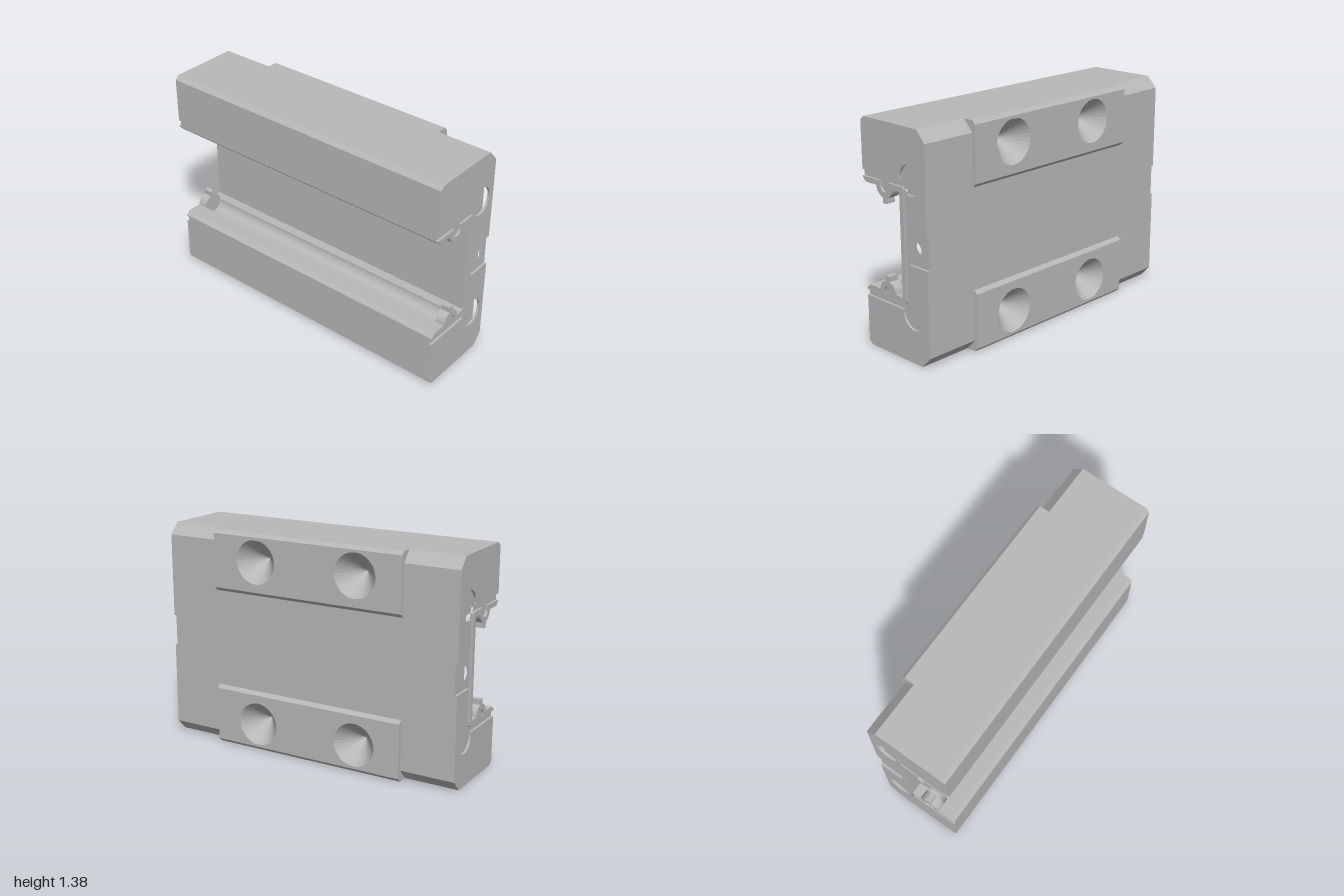
import * as THREE from 'three';

const H = 1.385;          // overall height; everything mirrors about H / 2
const GX = -0.093;        // x of the two raceways

// points along an arc, angles in degrees
function arc(cx, cy, r, a0, a1, n) {
  const pts = [];
  for (let i = 0; i <= n; i++) {
    const a = THREE.MathUtils.degToRad(a0 + (a1 - a0) * i / n);
    pts.push([cx + r * Math.cos(a), cy + r * Math.sin(a)]);
  }
  return pts;
}
const flip = pts => pts.map(([x, y]) => [x, H - y]).reverse();
const toShape = pts => new THREE.Shape(pts.map(p => new THREE.Vector2(...p)));

function addHole(shape, x, y, r, n = 28) {
  shape.holes.push(new THREE.Path(arc(x, y, r, 360, 360 / n, n - 1).map(p => new THREE.Vector2(...p))));
  return shape;
}

export function createModel() {
  const group = new THREE.Group();
  const steel = new THREE.MeshStandardMaterial({ color: 0xb8b8b8 });
  steel.name = 'steel grey';

  const add = (name, geometry) => {
    const mesh = new THREE.Mesh(geometry, steel);
    mesh.name = name;
    group.add(mesh);
    return mesh;
  };
  const slab = (name, shape, z0, z1) =>
    add(name, new THREE.ExtrudeGeometry(shape, { depth: z1 - z0, bevelEnabled: false }))
      .position.z = z0;
  const bothEnds = (name, shape, z0, z1) => {
    slab(name, shape, z0, z1);
    slab(name, shape, -z1, -z0);
  };

  // lower half outlines, running clockwise from the outer face to the inner web
  const shoulder = [[0.255, 0.07], [0.19, 0]];
  const notch = [[0.255, 0.385], [0.1, 0.385], [0.1, 0]];
  const leg = [[-0.255, 0], [-0.28, 0.025], [-0.28, 0.355], [-0.255, 0.38]];
  const groove = arc(GX, 0.38, 0.068, 180, 360, 14);
  const bump = [
    ...arc(GX, 0.375, 0.069, 176, 103, 6),
    [GX - 0.016, 0.475], [GX + 0.016, 0.475],
    ...arc(GX, 0.375, 0.069, 77, 4, 6),
  ];
  const web = [[0.035, 0.38]];
  const channel = (outer, inner) => {
    const half = [...outer, ...leg, ...inner, ...web];
    return addHole(toShape([...half, ...flip(half)]), 0.145, H / 2, 0.045);
  };

  // main carriage and its narrower shoulders
  slab('carriageBody', channel(notch, groove), -0.65, 0.65);
  bothEnds('carriageShoulder', channel(shoulder, groove), 0.65, 0.94);

  // end plates with round pockets
  const plate = channel(shoulder, bump);
  addHole(plate, 0.13, 0.295, 0.09);
  addHole(plate, 0.13, H - 0.295, 0.09);
  bothEnds('endPlate', plate, 0.94, 0.985);

  // raised end faces, notched around the pockets
  const face = [
    [-0.28, 0.31],
    ...arc(0.13, 0.295, 0.09, 170.4, 469.5, 24),
    [0.1, 0.595], [0.255, 0.595], ...shoulder, [-0.255, 0], [-0.28, 0.025],
  ];
  bothEnds('lowerEndFace', toShape(face), 0.985, 1);
  bothEnds('upperEndFace', toShape(flip(face)), 0.985, 1);

  // thin U-shaped seal lip following the inner opening
  const sealOuter = [[-0.28, 0.355], [-0.255, 0.38], ...bump, ...web];
  const sealInner = [
    [0.065, 0.357], [0.059, 0.348], [GX + 0.035, 0.348],
    ...arc(GX, 0.375, 0.035, 0, 180, 10),
    [GX - 0.035, 0.348], [-0.28, 0.348],
  ];
  bothEnds('sealLip', toShape([
    ...sealOuter, ...flip(sealOuter), ...flip(sealInner), ...sealInner,
  ]), 0.985, 1);

  // mounting pads with conical holes
  const padH = 0.385, holeR = 0.137, holeY = 0.174, holeZ = 0.345, depth = 0.16;
  const padShape = toShape([[-0.65, 0], [0.65, 0], [0.65, padH], [-0.65, padH]]);
  for (const s of [-1, 1]) addHole(padShape, s * holeZ, holeY, holeR, 32);

  const padBase = new THREE.ExtrudeGeometry(padShape, { depth: 0.155, bevelEnabled: false });
  padBase.rotateY(Math.PI / 2).translate(0.1, 0, 0);

  // taper the long edges of the pad's outer face
  let padTop = new THREE.ExtrudeGeometry(padShape, { depth: 0.022, bevelEnabled: false });
  padTop.rotateY(Math.PI / 2).translate(0.255, 0, 0);
  const p = padTop.attributes.position;
  for (let i = 0; i < p.count; i++) {
    if (p.getX(i) < 0.27) continue;
    if (p.getY(i) < 0.001) p.setY(i, 0.022);
    if (p.getY(i) > padH - 0.001) p.setY(i, padH - 0.022);
  }
  if (padTop.index) padTop = padTop.toNonIndexed();
  padTop.computeVertexNormals();

  // inward-facing cone opening towards +x
  const cone = new THREE.LatheGeometry(
    [new THREE.Vector2(holeR, 0), new THREE.Vector2(0, -depth)], 32).toNonIndexed();
  cone.rotateZ(-Math.PI / 2);
  cone.computeVertexNormals();

  for (const upper of [false, true]) {
    const side = upper ? 'upper' : 'lower';
    const y0 = upper ? H - padH : 0;
    // the upper pad is the lower one turned half round about x
    for (const [name, geo] of [['PadBase', padBase], ['PadFace', padTop]]) {
      const mesh = add(side + name, geo);
      if (upper) { mesh.rotation.x = Math.PI; mesh.position.y = y0 + padH; }
    }
    for (const s of [-1, 1]) {
      add(side + 'ConicalHole', cone)
        .position.set(0.277, upper ? H - holeY : holeY, s * holeZ);
    }
  }
  return group;
}
